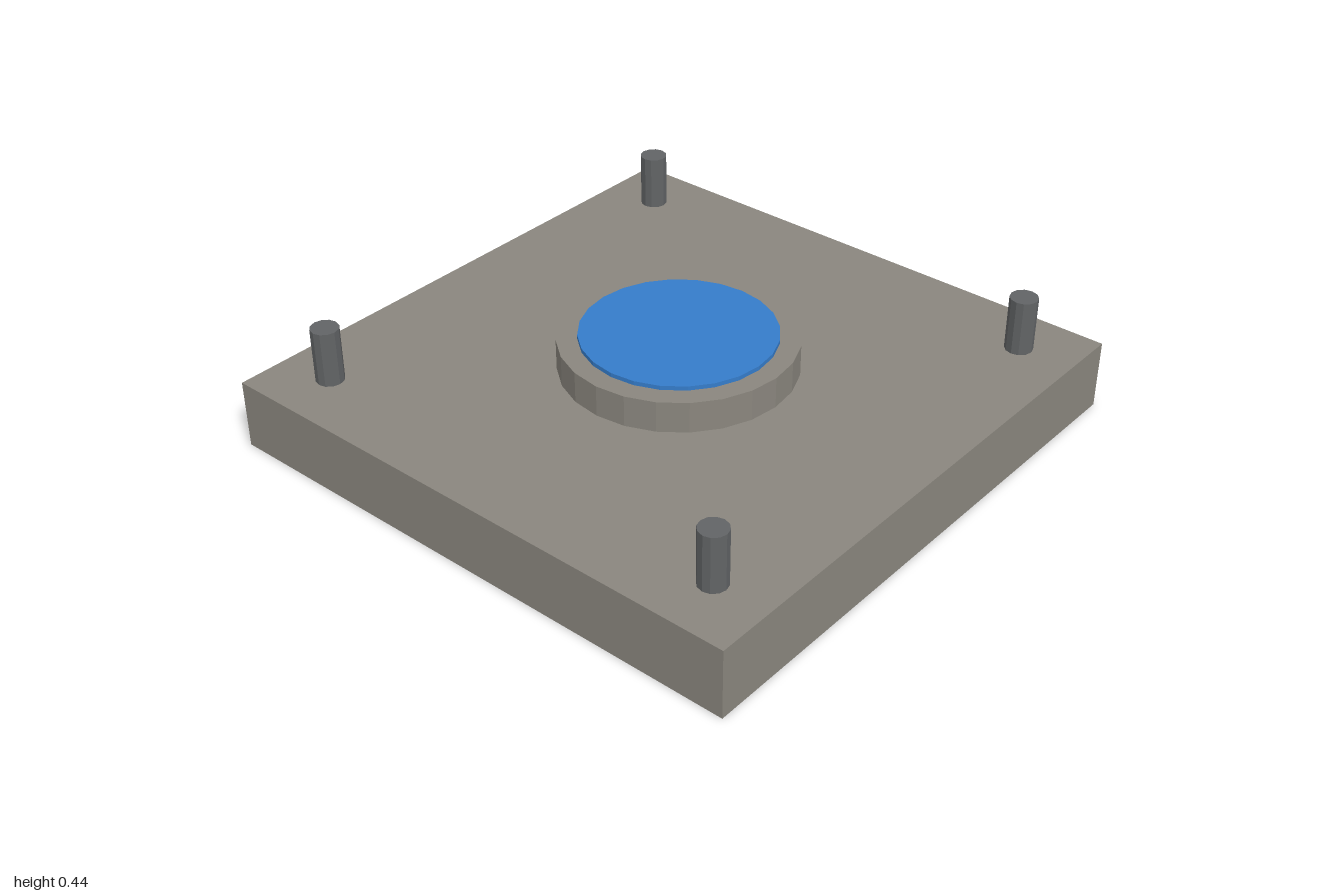
import * as THREE from 'three';

export function createModel() {
  const model = new THREE.Group();
  model.name = 'pedestal';

  const material = (name, color) => {
    const m = new THREE.MeshStandardMaterial({ color, flatShading: true });
    m.name = name;
    return m;
  };
  const stone = material('stone grey', 0x8a867e);
  const metal = material('dark metal', 0x626466);
  const blue = material('blue', 0x357cca);

  const add = (name, geometry, mat, x, y, z) => {
    const mesh = new THREE.Mesh(geometry, mat);
    mesh.name = name;
    mesh.position.set(x, y, z);
    model.add(mesh);
  };

  // Upright cylinder standing between two heights
  const disc = (name, radius, bottom, top, sides, mat, x = 0, z = 0) =>
    add(name, new THREE.CylinderGeometry(radius, radius, top - bottom, sides), mat, x, (bottom + top) / 2, z);

  const baseTop = 0.243;

  // Square slab
  add('base', new THREE.BoxGeometry(2, baseTop, 2), stone, 0, baseTop / 2, 0);

  // Round central plinth with its blue pad
  disc('plinth', 0.4, baseTop, 0.353, 24, stone);
  disc('bluePad', 0.33, 0.353, 0.368, 24, blue);

  // Corner posts
  for (const x of [-0.8, 0.8]) {
    for (const z of [-0.8, 0.8]) {
      disc('cornerPost', 0.048, baseTop, 0.438, 12, metal, x, z);
    }
  }

  return model;
}
